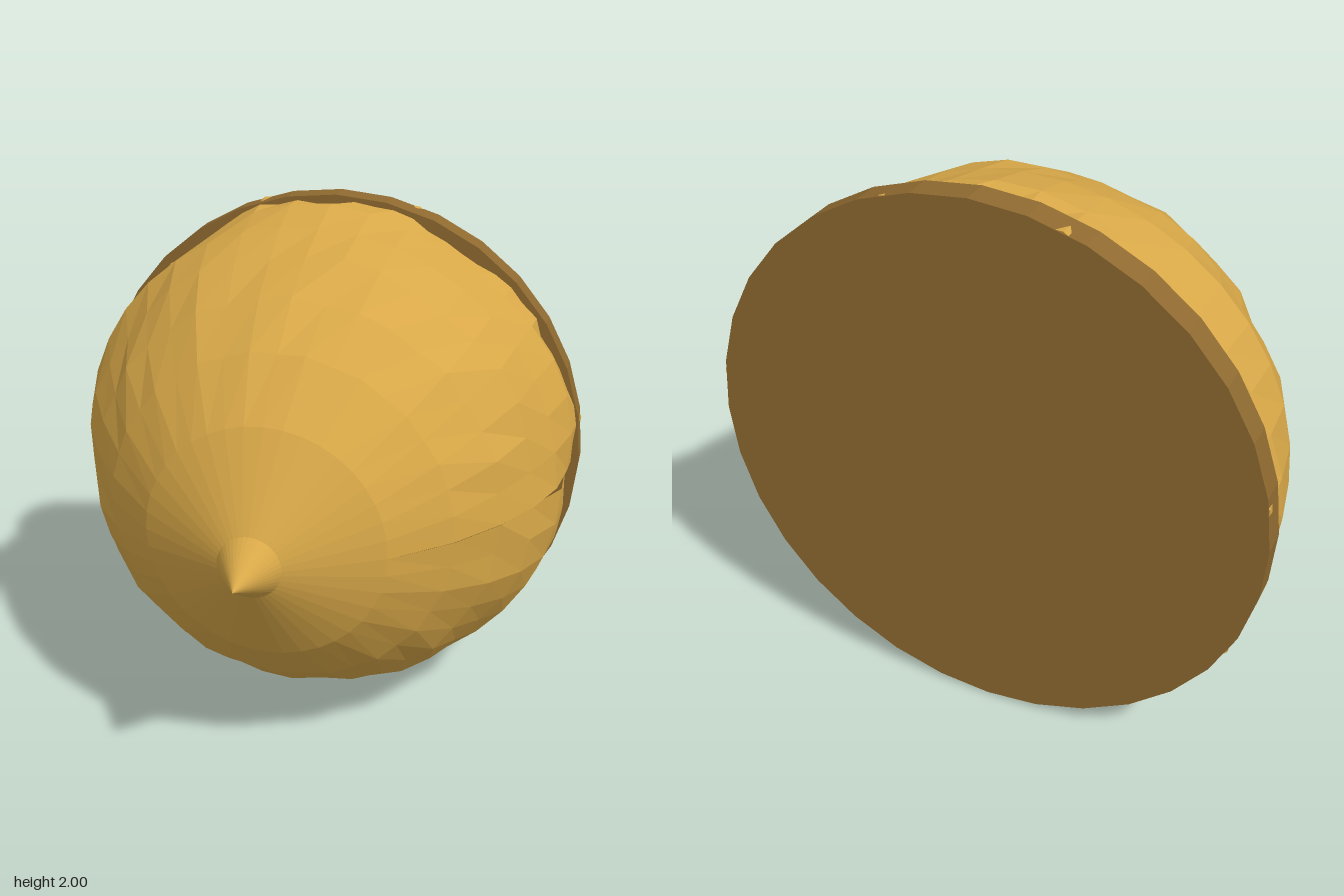
import * as THREE from 'three';

const gold = new THREE.MeshStandardMaterial({ color: 0xd8a848, flatShading: true, side: THREE.DoubleSide });
gold.name = 'gold';
const brown = new THREE.MeshStandardMaterial({ color: 0x8f6a30, flatShading: true });
brown.name = 'brown';

// Loft of circular rings from the pointed tip back to the rim, with a ripple growing toward the rim
function domeGeometry() {
  const radii = [0, 0.115, 0.44, 0.64, 0.778, 0.878, 0.942, 0.964, 0.974];
  const rows = radii.length - 1, segments = 40, halfDepth = 0.735;
  const positions = [], index = [];
  for (let i = 0; i <= rows; i++) {
    const t = i / rows;
    const ripple = 0.028 * Math.max(0, (t - 0.25) / 0.75);
    for (let j = 0; j <= segments; j++) {
      const angle = (j / segments) * Math.PI * 2;
      const r = radii[i] + ripple * Math.sin(i * j);
      positions.push(r * Math.cos(angle), r * Math.sin(angle), halfDepth * (1 - 2 * t));
    }
  }
  for (let i = 0; i < rows; i++) {
    for (let j = 0; j < segments; j++) {
      const a = i * (segments + 1) + j, b = a + segments + 1;
      if (i > 0) index.push(a, b, a + 1);
      index.push(b, b + 1, a + 1);
    }
  }
  const geometry = new THREE.BufferGeometry();
  geometry.setAttribute('position', new THREE.Float32BufferAttribute(positions, 3));
  geometry.setIndex(index);
  geometry.computeVertexNormals();
  return geometry;
}

export function createModel() {
  const model = new THREE.Group();
  model.name = 'pointedDome';

  // Rippled dome with pointed tip
  const dome = new THREE.Mesh(domeGeometry(), gold);
  dome.name = 'dome';
  dome.position.y = 1;
  model.add(dome);

  // Flat disc closing the back
  const disc = new THREE.Mesh(new THREE.CylinderGeometry(1, 1, 0.1, 32), brown);
  disc.name = 'backDisc';
  disc.rotation.x = Math.PI / 2;
  disc.position.set(0, 1, -0.687);
  model.add(disc);

  return model;
}
